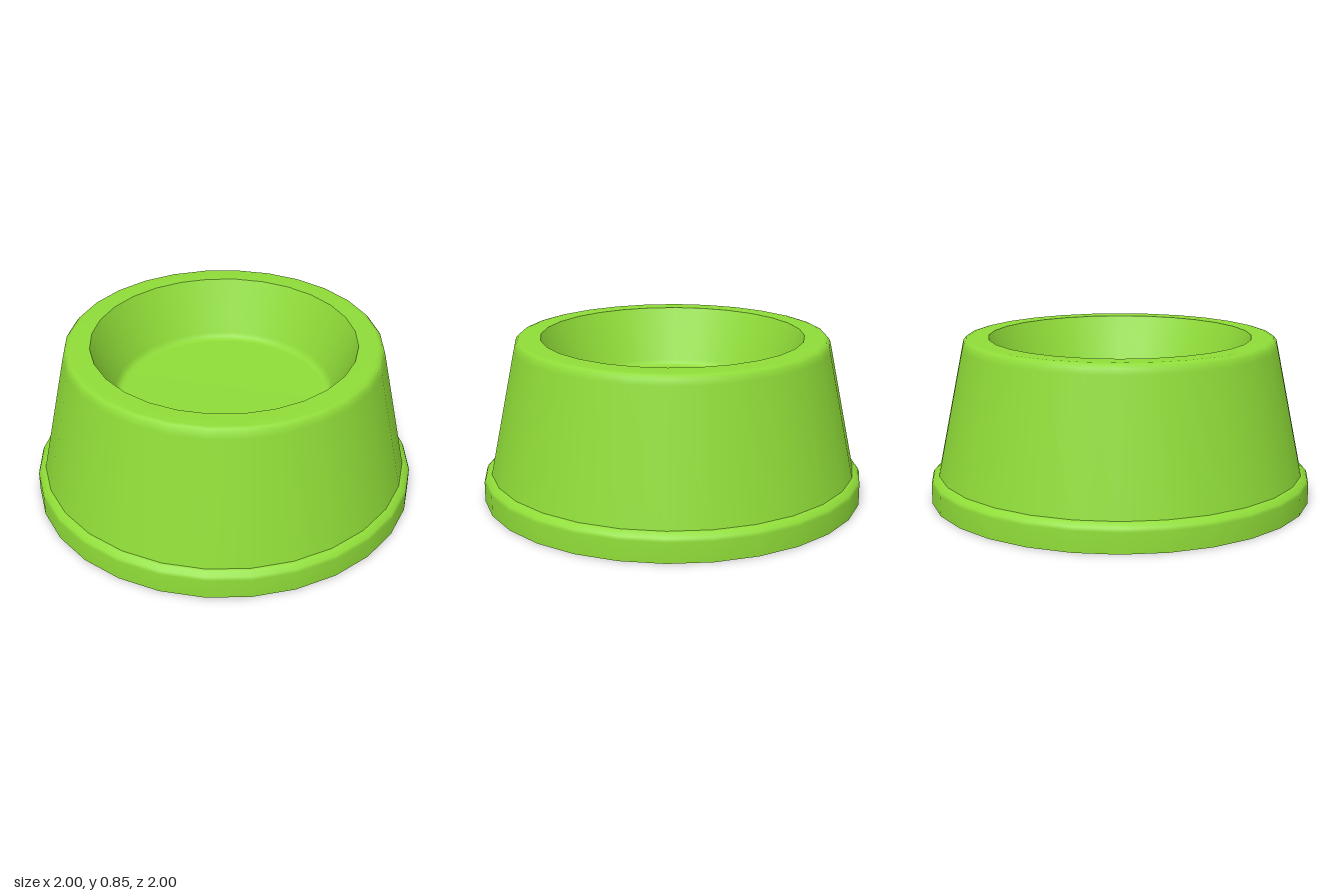
import * as THREE from 'three';

const SIDES = 28;

export function createModel() {
  const group = new THREE.Group();
  group.name = 'bowl';

  const green = new THREE.MeshStandardMaterial({ color: 0x8fdc38 });
  green.name = 'lime green';

  // Turns a [radius, height] profile; the profile runs up the outside and down the inside
  const turn = (name, profile) => {
    const points = profile.map(([r, y]) => new THREE.Vector2(r, y));
    const mesh = new THREE.Mesh(new THREE.LatheGeometry(points, SIDES), green);
    mesh.name = name;
    group.add(mesh);
  };

  // Flat underside
  turn('underside', [[0, 0], [1, 0]]);

  // Foot ring with a softly rounded top edge
  turn('footRing', [[1, 0], [1, 0.105], [0.993, 0.122], [0.972, 0.14], [0.96, 0.145], [0.945, 0.145]]);

  // Tapered outer wall rolling over into the flat rim
  turn('outerWall', [
    [0.975, 0.06], [0.96, 0.145], [0.824, 0.8], [0.817, 0.828],
    [0.803, 0.845], [0.785, 0.85], [0.685, 0.85],
  ]);

  // Sloping inner wall, blended into the dish floor
  turn('dish', [
    [0.685, 0.85], [0.57, 0.575], [0.56, 0.555], [0.546, 0.544],
    [0.525, 0.54], [0, 0.54],
  ]);

  return group;
}
